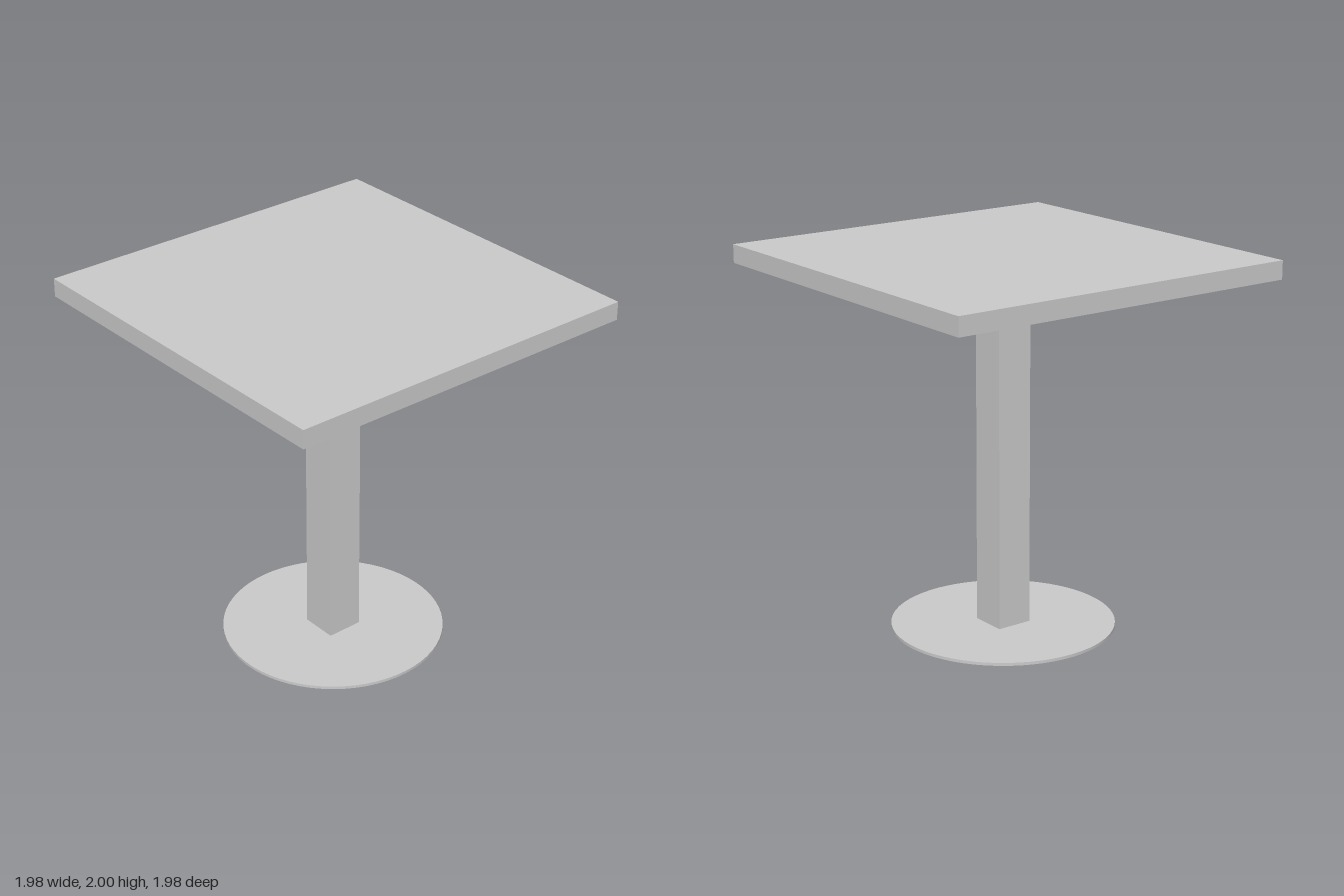
import * as THREE from 'three';

const material = new THREE.MeshStandardMaterial({ color: 0xcccccc });

// Places a part with its underside at the given height
function addPart(group, name, geometry, bottom, height) {
  const mesh = new THREE.Mesh(geometry, material);
  mesh.name = name;
  mesh.position.y = bottom + height / 2;
  group.add(mesh);
}

export function createModel() {
  const table = new THREE.Group();
  table.name = 'pedestalTable';

  const baseHeight = 0.016;
  const topHeight = 0.098;
  const columnHeight = 2 - topHeight - baseHeight;

  // Thin round foot plate
  addPart(table, 'base', new THREE.CylinderGeometry(0.593, 0.593, baseHeight, 64), 0, baseHeight);

  // Square column
  addPart(table, 'column', new THREE.BoxGeometry(0.198, columnHeight, 0.198), baseHeight, columnHeight);

  // Square table top
  addPart(table, 'tabletop', new THREE.BoxGeometry(1.977, topHeight, 1.977), 2 - topHeight, topHeight);

  return table;
}
